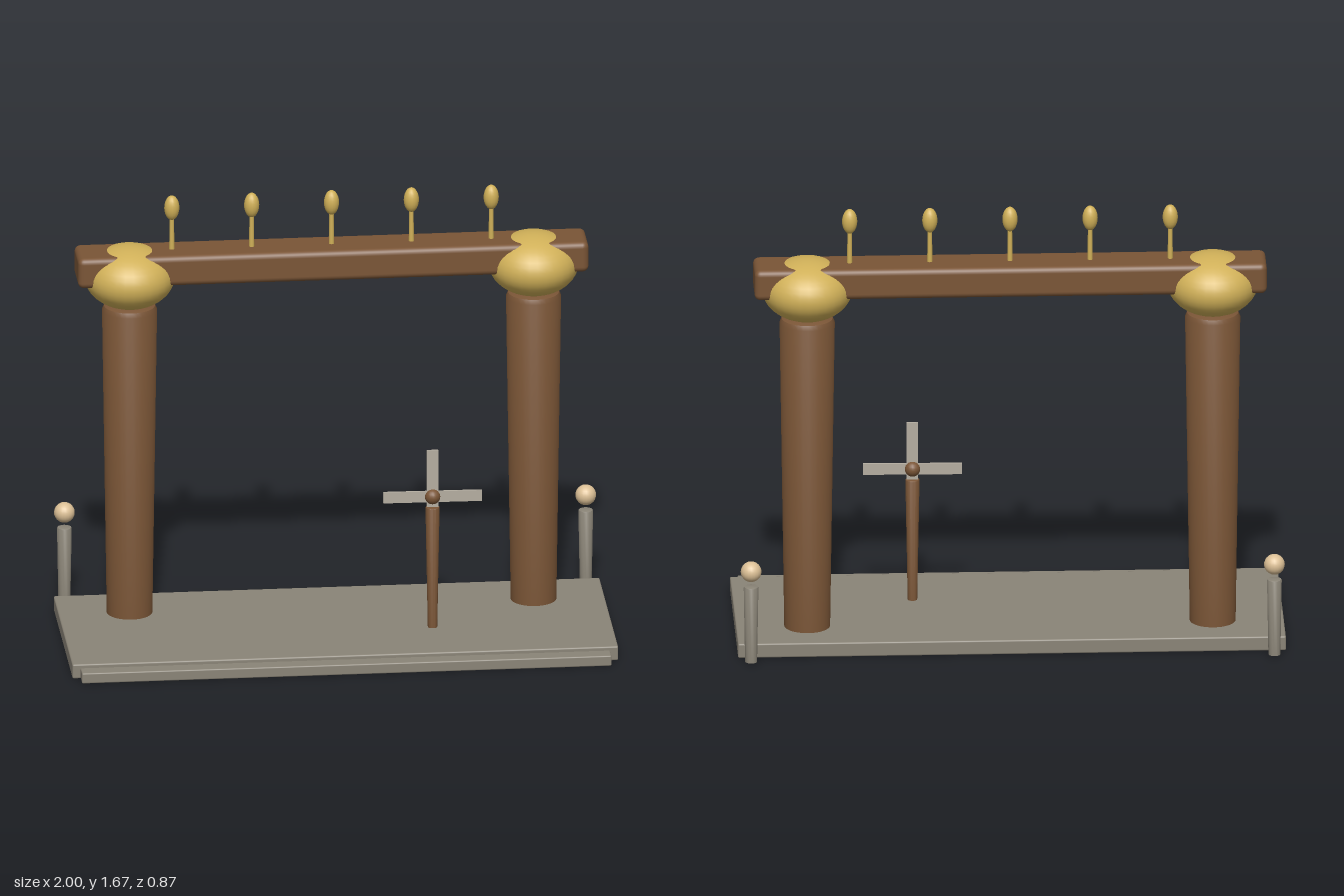
import * as THREE from 'three';
import { RoundedBoxGeometry } from 'three/addons/geometries/RoundedBoxGeometry.js';
import { toCreasedNormals } from 'three/addons/utils/BufferGeometryUtils.js';

const material = (color) => new THREE.MeshStandardMaterial({ color });

export function createModel() {
  const model = new THREE.Group();
  const stone = material(0x8a8477);
  const wood = material(0x7a5536);
  const gold = material(0xd0b058);
  const pearl = material(0xdcc096);
  const bladeGrey = material(0xb4ada0);

  function add(parent, name, geometry, mat, x, y, z) {
    const mesh = new THREE.Mesh(geometry, mat);
    mesh.name = name;
    mesh.position.set(x, y, z);
    parent.add(mesh);
    return mesh;
  }

  function group(name, x, z) {
    const g = new THREE.Group();
    g.name = name;
    g.position.set(x, 0, z);
    model.add(g);
    return g;
  }

  // Upright with a taper and softened rims
  function upright(rBottom, rTop, y0, y1, bevel, segments) {
    const points = [
      [0, y0], [rBottom, y0], [rTop, y1 - bevel],
      [rTop - bevel * 0.3, y1 - bevel * 0.3], [rTop - bevel, y1], [0, y1],
    ].map(([r, y]) => new THREE.Vector2(r, y));
    return toCreasedNormals(new THREE.LatheGeometry(points, segments), 0.7);
  }

  const ellipsoid = (rx, ry, rz, w, h) => new THREE.SphereGeometry(1, w, h).scale(rx, ry, rz);

  // Platform and front step
  add(model, 'platform', new RoundedBoxGeometry(2, 0.055, 0.72, 2, 0.006), stone, 0, 0.0275, 0.02);
  add(model, 'frontStep', new RoundedBoxGeometry(1.94, 0.04, 0.12, 2, 0.005), stone, 0, 0.02, 0.375);

  // Gate pillars, capitals and back lantern posts
  for (const side of [-1, 1]) {
    const label = side > 0 ? 'left' : 'right';
    const pillar = group(label + 'Pillar', side * 0.74, -0.15);
    add(pillar, 'shaft', upright(0.083, 0.101, 0, 1.258, 0.025, 32), wood, 0, 0, 0);
    add(pillar, 'capital', ellipsoid(0.165, 0.116, 0.17, 32, 20), gold, 0, 1.362, 0);

    const lantern = group(label + 'LanternPost', side * 0.955, -0.398);
    add(lantern, 'post', upright(0.022, 0.027, 0.008, 0.3, 0.004, 16), stone, 0, 0, 0);
    add(lantern, 'orb', new THREE.SphereGeometry(0.038, 20, 14), pearl, 0, 0.357, 0);
  }

  // Crossbeam
  add(model, 'crossbeam', new RoundedBoxGeometry(1.87, 0.116, 0.175, 3, 0.022), wood, 0, 1.404, -0.152);

  // Row of finials along the beam
  for (let i = -2; i <= 2; i++) {
    const finial = group('finial', i * 0.2925, -0.152);
    add(finial, 'stem', new THREE.CylinderGeometry(0.008, 0.01, 0.16, 12), gold, 0, 1.52, 0);
    add(finial, 'bud', ellipsoid(0.028, 0.047, 0.028, 16, 12), gold, 0, 1.622, 0);
  }

  // Small windmill: post, hub and crossed blades
  const windmill = group('windmill', 0.345, 0.11);
  add(windmill, 'post', upright(0.017, 0.026, 0.03, 0.522, 0.004, 16), wood, 0, 0, 0);
  add(windmill, 'hub', new THREE.SphereGeometry(0.029, 16, 12), wood, 0, 0.562, 0);
  const blades = new THREE.Group();
  blades.name = 'blades';
  blades.rotation.y = -0.02;
  windmill.add(blades);
  add(blades, 'crossBlade', new THREE.BoxGeometry(0.36, 0.042, 0.009), bladeGrey, 0, 0.562, 0);
  add(blades, 'uprightBlade', new THREE.BoxGeometry(0.042, 0.36, 0.009), bladeGrey, 0, 0.562, 0);

  return model;
}
